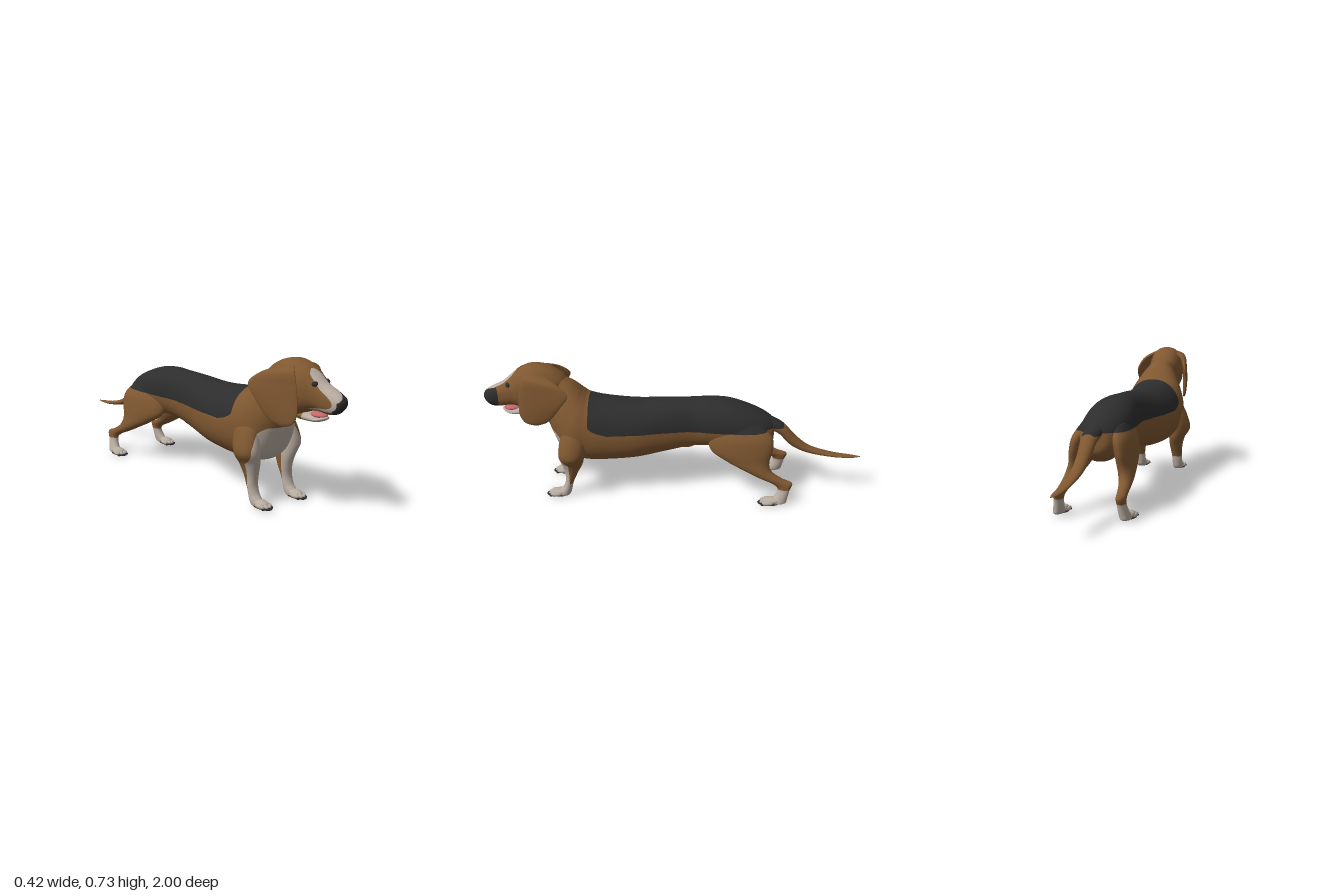
import * as THREE from 'three';

const mat = (name, color) => {
  const m = new THREE.MeshStandardMaterial({ color });
  m.name = name;
  return m;
};

export function createModel() {
  const dog = new THREE.Group();
  dog.name = 'dog';
  const brown = mat('brown coat', 0x805831), white = mat('white coat', 0xb8aca0);
  const black = mat('black coat', 0x2d2d2d), pink = mat('pink tongue', 0xc4686c);
  const mats = [brown, white, black];
  const BROWN = 0, WHITE = 1, BLACK = 2;

  // Catmull-Rom blend of the rows of a section table
  const sample = (rows, t) => {
    const n = rows.length - 1, i = Math.min(Math.floor(t * n), n - 1), f = t * n - i;
    const row = k => rows[Math.max(0, Math.min(n, k))];
    return rows[i].map((p1, c) => {
      const p0 = row(i - 1)[c], p2 = row(i + 1)[c], p3 = row(i + 2)[c];
      return 0.5 * (2 * p1 + (p2 - p0) * f + (2 * p0 - 5 * p1 + 4 * p2 - p3) * f * f + (3 * p1 - p0 - 3 * p2 + p3) * f * f * f);
    });
  };

  // Smooth skin over rings. Row: x, yA, zA, yB, zB, half width[, x of B]; A and B are opposite ring points.
  // colour(x, y, z) picks the material of each face.
  function loft(name, rows, colour, { rings = 50, segs = 36, power = 1, side = 1 } = {}) {
    const pos = [], tris = [];
    const bend = v => Math.sign(v) * Math.abs(v) ** power;
    for (let i = 0; i <= rings; i++) {
      const [x, yA, zA, yB, zB, w, xB = x] = sample(rows, i / rings);
      for (let j = 0; j < segs; j++) {
        const a = (j / segs) * Math.PI * 2, s = bend(Math.sin(a)), c = bend(Math.cos(a));
        pos.push(side * ((x + xB) / 2 + (x - xB) / 2 * s + Math.max(w, 0.001) * c),
          (yA + yB) / 2 + (yA - yB) / 2 * s, (zA + zB) / 2 + (zA - zB) / 2 * s);
      }
    }
    for (let i = 0; i < rings; i++) for (let j = 0; j < segs; j++) {
      const a = i * segs + j, b = i * segs + (j + 1) % segs;
      tris.push([a, b, b + segs], [a, b + segs, a + segs]);
    }
    // end caps
    for (const [ring, flip] of [[0, true], [rings, false]]) {
      const c = pos.length / 3, first = ring * segs;
      pos.push(...[0, 1, 2].map(k => (pos[first * 3 + k] + pos[(first + segs / 2) * 3 + k]) / 2));
      for (let j = 0; j < segs; j++) {
        const a = first + j, b = first + (j + 1) % segs;
        tris.push(flip ? [c, b, a] : [c, a, b]);
      }
    }
    // turn all faces outward
    const v = k => new THREE.Vector3().fromArray(pos, k * 3);
    let volume = 0;
    for (const [a, b, c] of tris) volume += v(a).dot(v(b).cross(v(c)));
    const faces = tris.map(([a, b, c]) => volume > 0 ? [a, b, c] : [a, c, b]);
    const g = new THREE.BufferGeometry();
    g.setAttribute('position', new THREE.Float32BufferAttribute(pos, 3));
    g.setIndex(faces.flat());
    g.computeVertexNormals();
    const nor = Array.from(g.attributes.normal.array);

    // sort faces by colour, splitting those on a colour border for a clean edge
    const lists = [[], [], []];
    const middle = (a, b) => {
      for (const arr of [pos, nor]) for (let k = 0; k < 3; k++) arr.push((arr[a * 3 + k] + arr[b * 3 + k]) / 2);
      return pos.length / 3 - 1;
    };
    const paint = (a, b, c, depth) => {
      const [p, q, r] = [a, b, c].map(k => colour(...v(k).toArray()));
      if (depth === 0 || (p === q && q === r)) {
        lists[colour(...v(a).add(v(b)).add(v(c)).divideScalar(3).toArray())].push(a, b, c);
        return;
      }
      const ab = middle(a, b), bc = middle(b, c), ca = middle(c, a);
      for (const t of [[a, ab, ca], [ab, b, bc], [ca, bc, c], [ab, bc, ca]]) paint(...t, depth - 1);
    };
    for (const f of faces) paint(...f, 3);
    g.setAttribute('position', new THREE.Float32BufferAttribute(pos, 3));
    g.setAttribute('normal', new THREE.Float32BufferAttribute(nor, 3));
    g.setIndex(lists.flat());
    let start = 0;
    lists.forEach((l, k) => { if (l.length) g.addGroup(start, l.length, k); start += l.length; });
    const mesh = new THREE.Mesh(g, mats);
    mesh.name = name;
    return mesh;
  }

  const ball = (name, material, p, r) => {
    const m = new THREE.Mesh(new THREE.SphereGeometry(1, 14, 10), material);
    m.name = name;
    m.position.set(...p);
    m.scale.set(...r);
    return m;
  };

  // Coat pattern of the body: dark saddle, pale chest
  const saddle = (x, y, z) => y > 0.391 - 0.018 * Math.min(z, 0) && z < 0.447 - 40 * Math.max(0, 0.44 - y) ** 2;
  const chest = (x, y, z) => z > 0.54 && y > 0.207 && Math.abs(x) < 0.167 &&
    y < 0.387 - 14 * Math.max(0, Math.abs(x) - 0.08) ** 2;
  const coat = (x, y, z) => saddle(x, y, z) ? BLACK : chest(x, y, z) ? WHITE : BROWN;

  // Trunk and neck
  dog.add(loft('trunk', [
    [0, 0.41, -0.53, 0.36, -0.525, 0.015],
    [0, 0.445, -0.5, 0.30, -0.52, 0.07],
    [0, 0.488, -0.42, 0.25, -0.46, 0.11],
    [0, 0.53, -0.3, 0.26, -0.33, 0.125],
    [0, 0.542, -0.2, 0.277, -0.2, 0.117],
    [0, 0.54, -0.08, 0.266, -0.08, 0.1],
    [0, 0.535, 0.05, 0.236, 0.05, 0.115],
    [0, 0.525, 0.2, 0.205, 0.2, 0.145],
    [0, 0.535, 0.35, 0.19, 0.37, 0.159],
    [0, 0.553, 0.44, 0.192, 0.48, 0.163],
    [0, 0.575, 0.475, 0.22, 0.585, 0.163],
    [0, 0.6, 0.50, 0.345, 0.645, 0.136],
    [0, 0.63, 0.535, 0.42, 0.675, 0.108],
    [0, 0.655, 0.58, 0.455, 0.715, 0.088],
  ], coat, { rings: 120, segs: 72, power: 0.92 }));
  dog.add(ball('sheath', brown, [0, 0.262, -0.05], [0.02, 0.018, 0.055]));

  // Tail
  dog.add(loft('tail', [
    [0, 0.472, -0.44, 0.42, -0.45, 0.035],
    [0.005, 0.435, -0.52, 0.375, -0.495, 0.045],
    [0.01, 0.4, -0.58, 0.345, -0.553, 0.04],
    [0.012, 0.325, -0.65, 0.275, -0.622, 0.033],
    [0.013, 0.265, -0.73, 0.232, -0.715, 0.028],
    [0.013, 0.228, -0.85, 0.207, -0.85, 0.023],
    [0.013, 0.213, -0.95, 0.202, -0.95, 0.016],
    [0.013, 0.207, -1.0, 0.205, -1.0, 0.003],
  ], (x, y, z) => z > -0.577 && y > 0.391 ? BLACK : BROWN));

  // Paw with four toes, claws and a dark sole
  function paw(name, x, z) {
    const g = new THREE.Group();
    g.name = name;
    g.add(ball('pawTop', white, [x, 0.022, z - 0.035], [0.03, 0.018, 0.05]));
    g.add(ball('sole', black, [x, 0.007, z - 0.022], [0.034, 0.007, 0.062]));
    for (let i = 0; i < 4; i++) {
      const o = i - 1.5, zt = z - 0.006 * o * o;
      g.add(ball('toe', white, [x + o * 0.017, 0.016, zt], [0.011, 0.012, 0.03]));
      g.add(ball('claw', black, [x + o * 0.018, 0.008, zt + 0.027], [0.006, 0.006, 0.01]));
    }
    return g;
  }

  // Legs, mirrored
  for (const side of [1, -1]) {
    const label = side > 0 ? 'left' : 'right';
    dog.add(loft(label + 'FrontLeg', [
      [0.09, 0.47, 0.545, 0.47, 0.47, 0.025],
      [0.115, 0.395, 0.585, 0.395, 0.46, 0.045],
      [0.132, 0.325, 0.605, 0.32, 0.46, 0.056],
      [0.137, 0.265, 0.613, 0.255, 0.475, 0.06],
      [0.12, 0.21, 0.603, 0.2, 0.49, 0.046],
      [0.114, 0.15, 0.588, 0.15, 0.515, 0.037],
      [0.116, 0.1, 0.585, 0.09, 0.542, 0.031],
      [0.116, 0.06, 0.598, 0.05, 0.552, 0.03],
      [0.116, 0.035, 0.62, 0.02, 0.56, 0.03],
      [0.116, 0.012, 0.63, 0.006, 0.57, 0.028],
    ], (x, y, z) => y < 0.085 || (y < 0.215 ? z > 0.56 : chest(x, y, z)) ? WHITE : BROWN, { rings: 72, segs: 36, side }));
    dog.add(paw(label + 'FrontPaw', side * 0.116, 0.655));

    dog.add(loft(label + 'HindLeg', [
      [0.06, 0.45, -0.24, 0.43, -0.45, 0.04, 0.075],
      [0.08, 0.37, -0.185, 0.37, -0.51, 0.052, 0.103],
      [0.096, 0.29, -0.19, 0.305, -0.517, 0.051, 0.118],
      [0.114, 0.235, -0.27, 0.24, -0.502, 0.045, 0.126],
      [0.13, 0.19, -0.36, 0.2, -0.505, 0.039, 0.135],
      [0.143, 0.152, -0.44, 0.17, -0.528, 0.031, 0.143],
      [0.15, 0.122, -0.51, 0.14, -0.58, 0.025, 0.15],
      [0.155, 0.098, -0.545, 0.12, -0.626, 0.023, 0.155],
      [0.159, 0.075, -0.55, 0.08, -0.615, 0.023, 0.159],
      [0.165, 0.045, -0.535, 0.035, -0.605, 0.026, 0.165],
      [0.17, 0.02, -0.51, 0.012, -0.6, 0.027, 0.17],
      [0.171, 0.01, -0.5, 0.006, -0.585, 0.024, 0.171],
    ], (x, y, z) => y < 0.088 ? WHITE : coat(x, y, z), { rings: 72, segs: 36, side }));
    dog.add(paw(label + 'HindPaw', side * 0.172, -0.485));
  }

  // Head, turned a little to its left
  const head = new THREE.Group();
  head.name = 'head';
  head.rotation.y = 0.085;
  head.position.set(-0.065, 0, 0.0025);
  dog.add(head);
  // Dark nose cut off slantwise, pale blaze from brow to lip
  const face = (x, y, z) => {
    if (x > -0.038 && z > 0.94 - 0.4 * x && y < 0.588 + 0.75 * x) return BLACK;
    const edge = 25 * Math.max(0, y - 0.66) ** 2;
    return z > 0.79 && y > 0.512 && y < 0.692 && x > -0.044 + edge && x < 0.022 - edge ? WHITE : BROWN;
  };
  head.add(loft('skullAndMuzzle', [
    [0, 0.62, 0.55, 0.56, 0.6, 0.03],
    [0, 0.668, 0.585, 0.48, 0.65, 0.078],
    [0, 0.71, 0.65, 0.452, 0.7, 0.094],
    [0, 0.726, 0.73, 0.458, 0.755, 0.097],
    [0, 0.705, 0.8, 0.485, 0.8, 0.086],
    [0, 0.667, 0.85, 0.503, 0.845, 0.066],
    [0, 0.634, 0.89, 0.5, 0.885, 0.053],
    [0, 0.61, 0.94, 0.495, 0.925, 0.047],
    [0, 0.588, 0.98, 0.503, 0.962, 0.041],
    [0, 0.568, 0.997, 0.522, 0.983, 0.028],
    [0, 0.55, 1.0, 0.54, 0.996, 0.006],
  ], face, { rings: 90, segs: 64, power: 0.86 }));
  head.add(loft('lowerJaw', [
    [0, 0.5, 0.74, 0.452, 0.73, 0.045],
    [0, 0.49, 0.81, 0.448, 0.79, 0.048],
    [0, 0.479, 0.865, 0.45, 0.855, 0.043],
    [0, 0.481, 0.895, 0.46, 0.89, 0.03],
    [0, 0.48, 0.91, 0.47, 0.908, 0.006],
  ], (x, y, z) => z > 0.795 ? WHITE : BROWN));
  head.add(ball('tongue', pink, [0, 0.483, 0.858], [0.033, 0.014, 0.045]));

  // Eyes and long hanging ears
  for (const side of [1, -1]) {
    const label = side > 0 ? 'left' : 'right';
    head.add(ball(label + 'Eye', black, [side * 0.043, 0.629, 0.862], [0.017, 0.013, 0.014]));
    head.add(loft(label + 'Ear', [
      [0.055, 0.705, 0.75, 0.69, 0.68, 0.01, 0.07],
      [0.088, 0.682, 0.782, 0.66, 0.61, 0.017, 0.118],
      [0.095, 0.61, 0.802, 0.605, 0.555, 0.014, 0.142],
      [0.096, 0.545, 0.81, 0.54, 0.595, 0.012, 0.142],
      [0.098, 0.485, 0.81, 0.48, 0.638, 0.011, 0.13],
      [0.102, 0.443, 0.79, 0.443, 0.672, 0.009, 0.118],
      [0.106, 0.426, 0.755, 0.426, 0.71, 0.004, 0.11],
    ], () => BROWN, { side }));
  }
  return dog;
}
